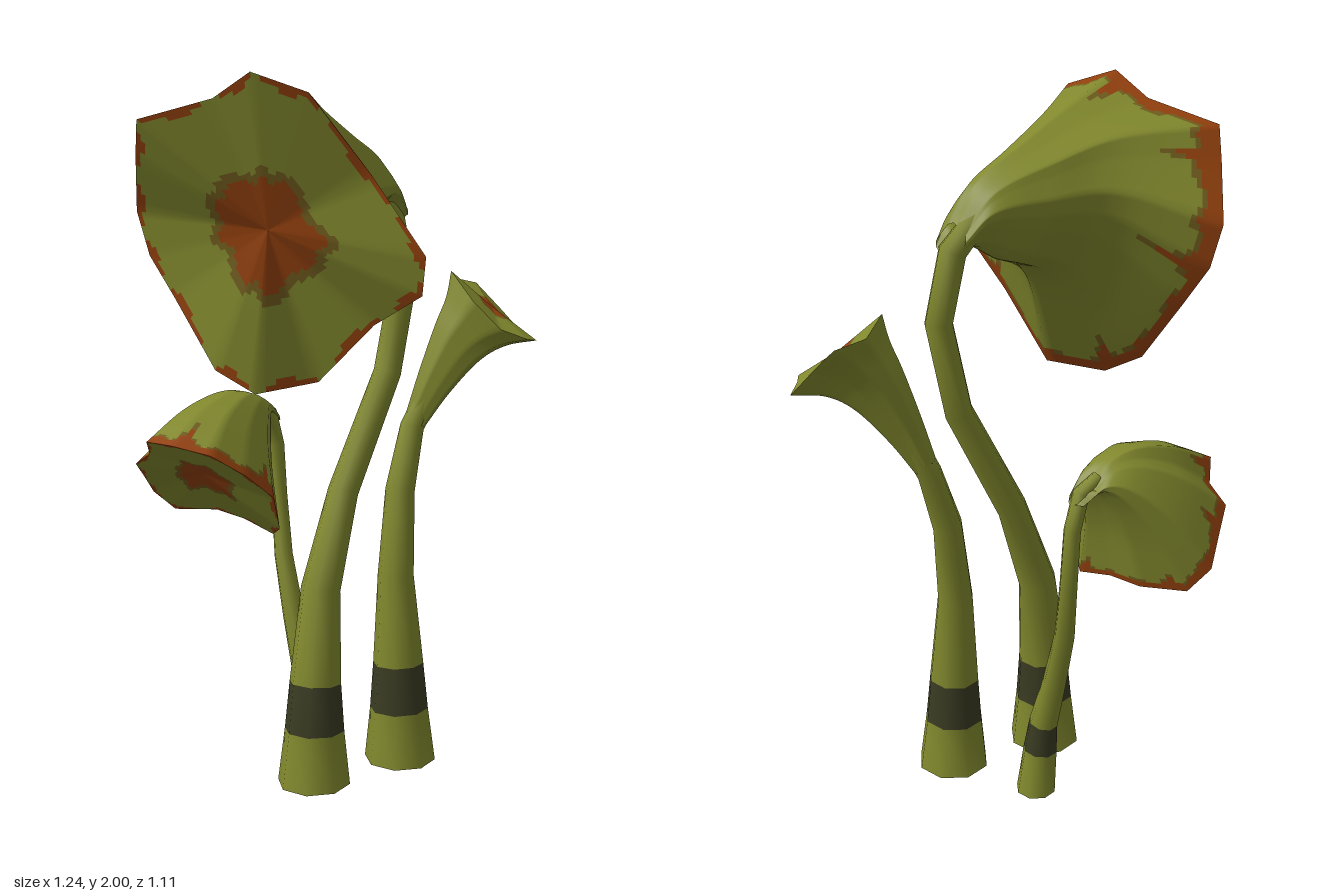
import * as THREE from 'three';

const paint = (name, color) => {
  const m = new THREE.MeshStandardMaterial({ color, side: THREE.DoubleSide });
  m.name = name;
  return m;
};
const MATS = [
  paint('olive', 0x81882d), paint('rust', 0x92400d),
  paint('brown', 0x705c1e), paint('darkBand', 0x3a3b22),
];
const [OLIVE, RUST, BROWN, BAND] = [0, 1, 2, 3];
const V = (p) => new THREE.Vector3(p[0], p[1], p[2]);

// Smooth skin over closed rings of equal point count; pick(row, column) chooses the colour
function loft(name, rings, perSection, pick) {
  const cols = rings[0].length, rows = (rings.length - 1) * perSection;
  const pos = [], buckets = MATS.map(() => []);
  const curves = rings[0].map((_, j) => new THREE.CatmullRomCurve3(rings.map((r) => r[j]), false, 'catmullrom', 0.5));
  for (let i = 0; i <= rows; i++)
    for (const c of curves) pos.push(...c.getPoint(i / rows).toArray());
  for (let i = 0; i < rows; i++)
    for (let j = 0; j < cols; j++) {
      const k = (j + 1) % cols;
      const a = i * cols + j, b = i * cols + k, c = a + cols, d = b + cols;
      buckets[pick(i, j)].push(a, b, c, b, d, c);
    }
  const geo = new THREE.BufferGeometry();
  geo.setAttribute('position', new THREE.Float32BufferAttribute(pos, 3));
  geo.setIndex(buckets.flat());
  let start = 0;
  buckets.forEach((b, m) => {
    if (b.length) geo.addGroup(start, b.length, m);
    start += b.length;
  });
  geo.computeVertexNormals();
  const mesh = new THREE.Mesh(geo, MATS);
  mesh.name = name;
  return mesh;
}

// Tapering eight-sided stalk through [x, y, z, radius] nodes; the second section is the dark band
function stalk(nodes) {
  const up = new THREE.Vector3(0, 1, 0);
  const rings = nodes.map((n, i) => {
    const dir = i === 0 ? up : V(nodes[Math.min(i + 1, nodes.length - 1)]).sub(V(nodes[i - 1])).normalize();
    const q = new THREE.Quaternion().setFromUnitVectors(up, dir);
    return Array.from({ length: 8 }, (_, j) => {
      const a = j * Math.PI / 4;
      return new THREE.Vector3(Math.cos(a) * n[3], 0, -Math.sin(a) * n[3]).applyQuaternion(q).add(V(n));
    });
  });
  return loft('stalk', rings, 1, (i) => (i === 1 ? BAND : OLIVE));
}

// Flared bell: scaled copies of the ragged rim along [x, y, z, scale, zScale] nodes, plus the inner dish
function bell({ rim, centre, nodes, throat, rimPaint, patch }) {
  const group = new THREE.Group();
  group.name = 'bell';
  const pts = rim.map(V), c = V(centre), edge = [];
  pts.forEach((p, i) => {
    const next = pts[(i + 1) % pts.length];
    for (let s = 0; s < 6; s++) edge.push(p.clone().lerp(next, s / 6));
  });
  const rings = nodes.map(([x, y, z, s, sz = s]) => edge.map((p) =>
    p.clone().sub(c).multiply(new THREE.Vector3(s, s, sz)).add(new THREE.Vector3(x, y, z))));
  rings.push(edge);

  // ragged rust margin, thinner underneath, with a few long streaks
  const per = 20, rows = per * nodes.length;
  const margin = (j) => {
    const ragged = 3.2 + 0.9 * Math.sin(j * 1.1) + 7 * Math.max(0, Math.sin(j * 0.42 + 1)) ** 16;
    return rimPaint * ragged * (edge[j].y < c.y - 0.1 ? 0.5 : 1);
  };
  group.add(loft('bellOutside', rings, per, (i, j) => {
    const fromRim = rows - 1 - i;
    if (fromRim < margin(j)) return RUST;
    return fromRim < margin(j) * 1.35 ? BROWN : OLIVE;
  }));

  // inner dish with a coloured throat and a thin broken rust edge
  const t = V(throat);
  const inner = [0, 0.5, 1].map((f) => edge.map((p) => p.clone().lerp(t, f)));
  group.add(loft('bellInside', inner, 14, (i, j) => {
    const left = 1 - i / 28 + 0.03 * Math.sin(j * 0.6);
    if (left < patch) return RUST;
    if (left < patch + 0.07) return BROWN;
    return i < rimPaint * (0.6 + 0.9 * Math.sin(j * 0.9)) ? RUST : OLIVE;
  }));
  return group;
}

function flower(name, stalkNodes, bellSpec) {
  const g = new THREE.Group();
  g.name = name;
  g.add(stalk(stalkNodes), bell(bellSpec));
  return g;
}

export function createModel() {
  const model = new THREE.Group();
  model.name = 'trumpetPlants';

  model.add(flower('largeFlower', [
    [-0.155, 0, 0.003, 0.107], [-0.15, 0.16, 0, 0.088], [-0.143, 0.3, -0.005, 0.076],
    [-0.11, 0.57, -0.025, 0.058], [-0.01, 0.84, -0.055, 0.045], [0.165, 1.17, -0.08, 0.041],
    [0.22, 1.43, -0.08, 0.04], [0.18, 1.62, -0.085, 0.04], [0.1, 1.71, -0.085, 0.035],
  ], {
    rim: [
      [-0.49, 2.0, 0.25], [-0.51, 1.94, 0.1], [-0.62, 1.89, -0.1], [-0.6, 1.8, -0.15],
      [-0.55, 1.65, -0.25], [-0.52, 1.53, -0.24], [-0.48, 1.42, -0.18], [-0.43, 1.23, -0.05],
      [-0.36, 1.17, 0.04], [-0.21, 1.2, 0.12], [-0.17, 1.37, 0.32], [-0.16, 1.46, 0.51],
      [-0.18, 1.56, 0.55], [-0.26, 1.75, 0.44], [-0.4, 1.95, 0.37],
    ],
    centre: [-0.4, 1.6, 0.13],
    nodes: [
      [0.18, 1.645, -0.085, 0.12, 0.11], [0.11, 1.715, -0.08, 0.2, 0.16],
      [-0.02, 1.725, -0.05, 0.36, 0.25], [-0.2, 1.715, 0.03, 0.56, 0.48],
    ],
    throat: [-0.365, 1.61, 0.12], rimPaint: 1, patch: 0.38,
  }));

  model.add(flower('smallFlower', [
    [0.012, 0.02, -0.265, 0.058], [0.0, 0.155, -0.267, 0.05], [-0.006, 0.25, -0.275, 0.042],
    [-0.018, 0.4, -0.315, 0.034], [-0.018, 0.58, -0.37, 0.029], [0.0, 0.76, -0.42, 0.025],
    [-0.008, 0.92, -0.42, 0.024], [-0.035, 1.02, -0.415, 0.024], [-0.09, 1.055, -0.41, 0.02],
  ], {
    rim: [
      [-0.51, 1.0, -0.31], [-0.47, 0.95, -0.37], [-0.48, 0.91, -0.44], [-0.43, 0.86, -0.49],
      [-0.365, 0.79, -0.555], [-0.3, 0.73, -0.54], [-0.2, 0.73, -0.46], [-0.17, 0.72, -0.35],
      [-0.135, 0.69, -0.24], [-0.15, 0.72, -0.18], [-0.2, 0.83, -0.13], [-0.3, 0.91, -0.12],
      [-0.4, 0.975, -0.14], [-0.48, 1.0, -0.22],
    ],
    centre: [-0.34, 0.85, -0.32],
    nodes: [[-0.03, 1.015, -0.42, 0.13], [-0.09, 1.06, -0.41, 0.22], [-0.16, 1.045, -0.39, 0.41], [-0.25, 0.97, -0.36, 0.68]],
    throat: [-0.32, 0.88, -0.33], rimPaint: 0.9, patch: 0.38,
  }));

  model.add(flower('uprightFlower', [
    [0.157, 0, 0.003, 0.107], [0.155, 0.16, 0, 0.088], [0.155, 0.3, -0.005, 0.076],
    [0.155, 0.57, -0.02, 0.054], [0.188, 0.82, -0.045, 0.044], [0.25, 1.0, -0.07, 0.036],
    [0.3, 1.11, -0.045, 0.036],
  ], {
    rim: [
      [0.355, 1.38, 0.08], [0.41, 1.3, 0.14], [0.48, 1.27, 0.18], [0.54, 1.26, 0.15],
      [0.57, 1.27, 0.07], [0.62, 1.27, -0.02], [0.57, 1.34, -0.06], [0.53, 1.41, -0.12],
      [0.44, 1.43, -0.12], [0.36, 1.46, -0.03],
    ],
    centre: [0.475, 1.34, 0.03],
    nodes: [[0.26, 1.02, -0.065, 0.22], [0.31, 1.13, -0.04, 0.35], [0.37, 1.24, -0.01, 0.52], [0.42, 1.3, 0.015, 0.7]],
    throat: [0.467, 1.355, 0.03], rimPaint: 0, patch: 0.36,
  }));

  return model;
}
